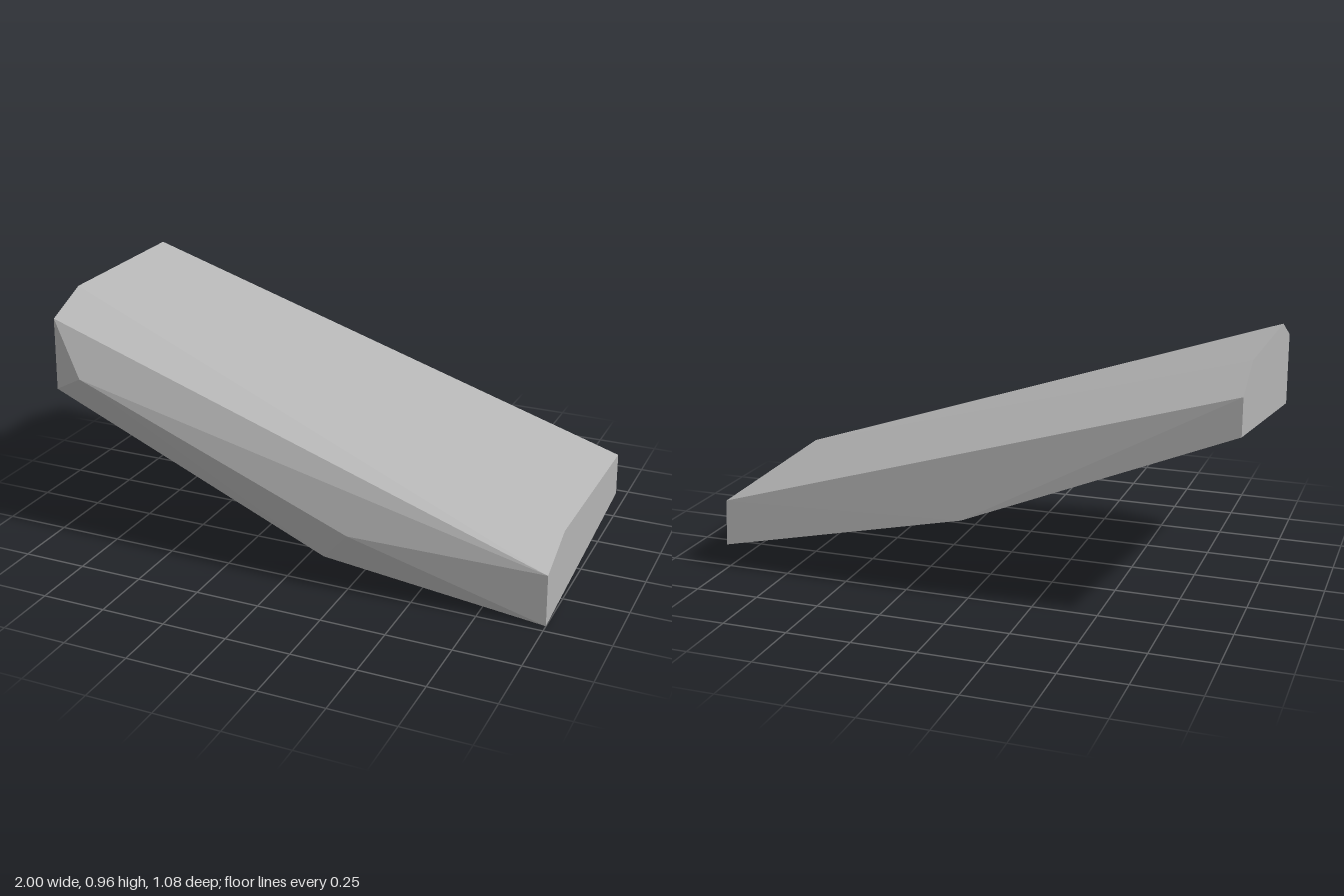
import * as THREE from 'three';
import { ConvexGeometry } from 'three/addons/geometries/ConvexGeometry.js';

export function createModel() {
  const group = new THREE.Group();
  group.name = 'rockSlab';
  const stone = new THREE.MeshStandardMaterial({ color: 0xb4b4b4 });
  stone.name = 'stone grey';

  const corners = [
    // high end, from front bottom over the top to back bottom
    [-1, 0.59, 0.47], [-1, 0.875, 0.46], [-1, 0.955, 0.28],
    [-1, 0.965, -0.375], [-1, 0.875, -0.535], [-1, 0.735, -0.535],
    // low end, same order
    [1, 0, 0.465], [1, 0.207, 0.475], [1, 0.292, 0.28],
    [1, 0.272, -0.503], [1, 0.095, -0.517],
    // bulge along the front
    [-0.85, 0.675, 0.537], [0.26, 0.237, 0.537],
    // break across the underside, front and back
    [0.14, 0.1, 0.475], [0.01, 0.32, -0.54],
  ].map((p) => new THREE.Vector3(...p));

  // the chipped block is convex, so its corners define every facet
  const slab = new THREE.Mesh(new ConvexGeometry(corners), stone);
  slab.name = 'slab';
  group.add(slab);
  return group;
}
